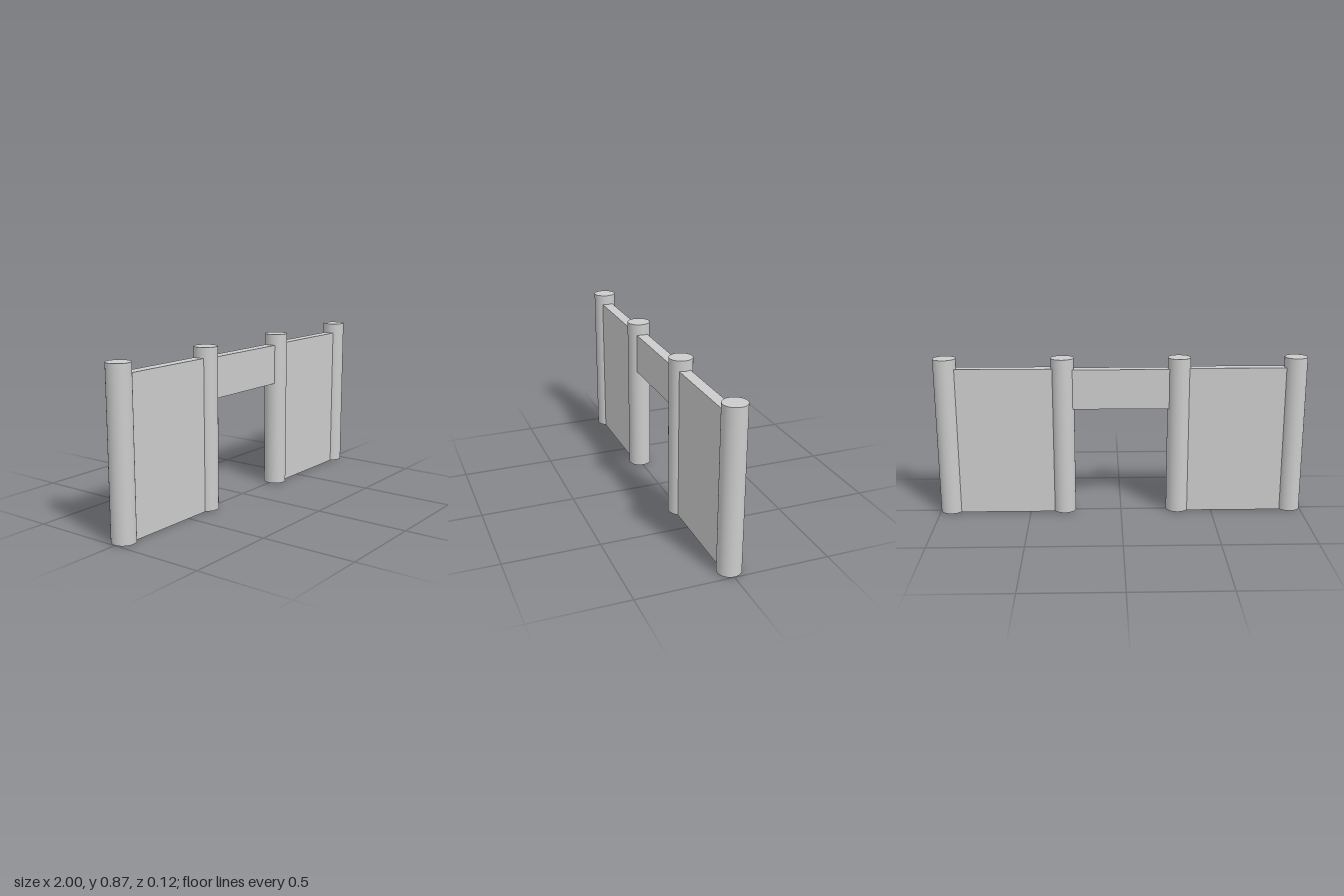
import * as THREE from 'three';

const POST_RADIUS = 0.0615;
const OUTER_X = 1 - POST_RADIUS;
const INNER_X = 0.313;
const THICKNESS = 0.06;

export function createModel() {
  const group = new THREE.Group();
  const material = new THREE.MeshStandardMaterial({ color: 0xcccccc });

  const add = (name, geometry, x, y) => {
    const mesh = new THREE.Mesh(geometry, material);
    mesh.name = name;
    mesh.position.set(x, y, 0);
    group.add(mesh);
  };

  // Upright slab between two x positions and two heights
  const addSlab = (name, x0, x1, y0, y1) =>
    add(name, new THREE.BoxGeometry(Math.abs(x1 - x0), y1 - y0, THICKNESS), (x0 + x1) / 2, (y0 + y1) / 2);

  const postBottom = 0.002;
  const postTop = 0.865;
  const postHeight = postTop - postBottom;
  const postGeometry = new THREE.CylinderGeometry(POST_RADIUS, POST_RADIUS, postHeight, 48);

  // Two round posts and a wall panel on each side
  for (const [side, s] of [['left', 1], ['right', -1]]) {
    add(`${side}OuterPost`, postGeometry, s * OUTER_X, postBottom + postHeight / 2);
    add(`${side}InnerPost`, postGeometry, s * INNER_X, postBottom + postHeight / 2);
    addSlab(`${side}Panel`, s * INNER_X, s * OUTER_X, 0, 0.81);
  }

  // Lintel over the opening
  addSlab('lintel', -INNER_X, INNER_X, 0.588, 0.805);

  return group;
}
